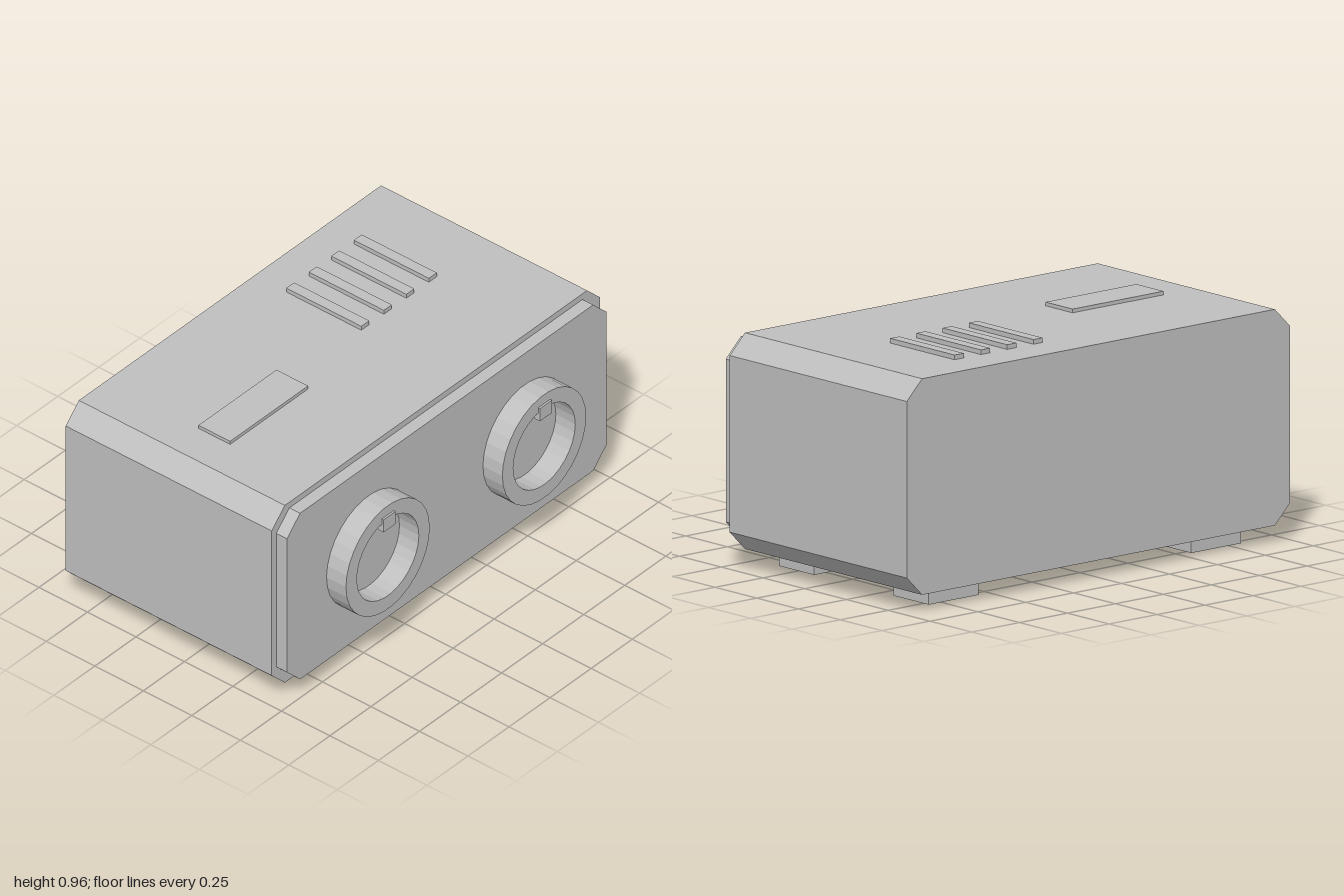
import * as THREE from 'three';

export function createModel() {
  const group = new THREE.Group();
  const grey = new THREE.MeshStandardMaterial({ color: 0xbfbfbf });
  grey.name = 'plain grey';
  grey.flatShading = true;

  const add = (geometry, name, x = 0, y = 0, z = 0) => {
    const mesh = new THREE.Mesh(geometry, grey);
    mesh.name = name;
    mesh.position.set(x, y, z);
    group.add(mesh);
    return mesh;
  };

  // Box given by its limits on each axis
  const box = (name, x0, x1, y0, y1, z0, z1) =>
    add(new THREE.BoxGeometry(x1 - x0, y1 - y0, z1 - z0), name,
      (x0 + x1) / 2, (y0 + y1) / 2, (z0 + z1) / 2);

  // Octagonal slab: a rectangle with cut corners, extruded along z
  const chamferedSlab = (name, w, y0, y1, c, z0, z1) => {
    const outline = [
      [-w + c, y0], [w - c, y0], [w, y0 + c], [w, y1 - c],
      [w - c, y1], [-w + c, y1], [-w, y1 - c], [-w, y0 + c],
    ].map(([x, y]) => new THREE.Vector2(x, y));
    add(new THREE.ExtrudeGeometry(new THREE.Shape(outline),
      { depth: z1 - z0, bevelEnabled: false }), name, 0, 0, z0);
  };

  // Case and its raised front panel
  chamferedSlab('caseBody', 1, 0.07, 0.943, 0.08, -0.612, 0.45);
  chamferedSlab('frontPanel', 0.972, 0.097, 0.915, 0.08, 0.45, 0.505);

  // Open rings on the front, each with a small key block at the top
  const ringProfile = [[0.189, 0], [0.255, 0], [0.255, 0.1], [0.189, 0.1], [0.189, 0]]
    .map(([r, h]) => new THREE.Vector2(r, h));
  for (const side of [-1, 1]) {
    const x = side * 0.476;
    const ring = add(new THREE.LatheGeometry(ringProfile, 30), 'frontRing', x, 0.507, 0.505);
    ring.rotation.set(Math.PI / 2, Math.PI / 2, 0, 'XYZ');
    box('ringKey', x - 0.036, x + 0.036, 0.655, 0.717, 0.585, 0.614);
  }

  // Label plate and row of ribs on the top
  box('labelPlate', -0.755, -0.28, 0.943, 0.958, -0.135, 0.028);
  for (let i = 0; i < 4; i++) {
    const x = 0.172 + i * 0.137;
    box('topRib', x - 0.024, x + 0.024, 0.943, 0.962, -0.447, -0.06);
  }

  // Four feet
  for (const x of [-0.685, 0.685]) {
    for (const z of [-0.425, 0.262]) {
      box('foot', x - 0.13, x + 0.13, 0, 0.07, z - 0.105, z + 0.105);
    }
  }

  return group;
}
